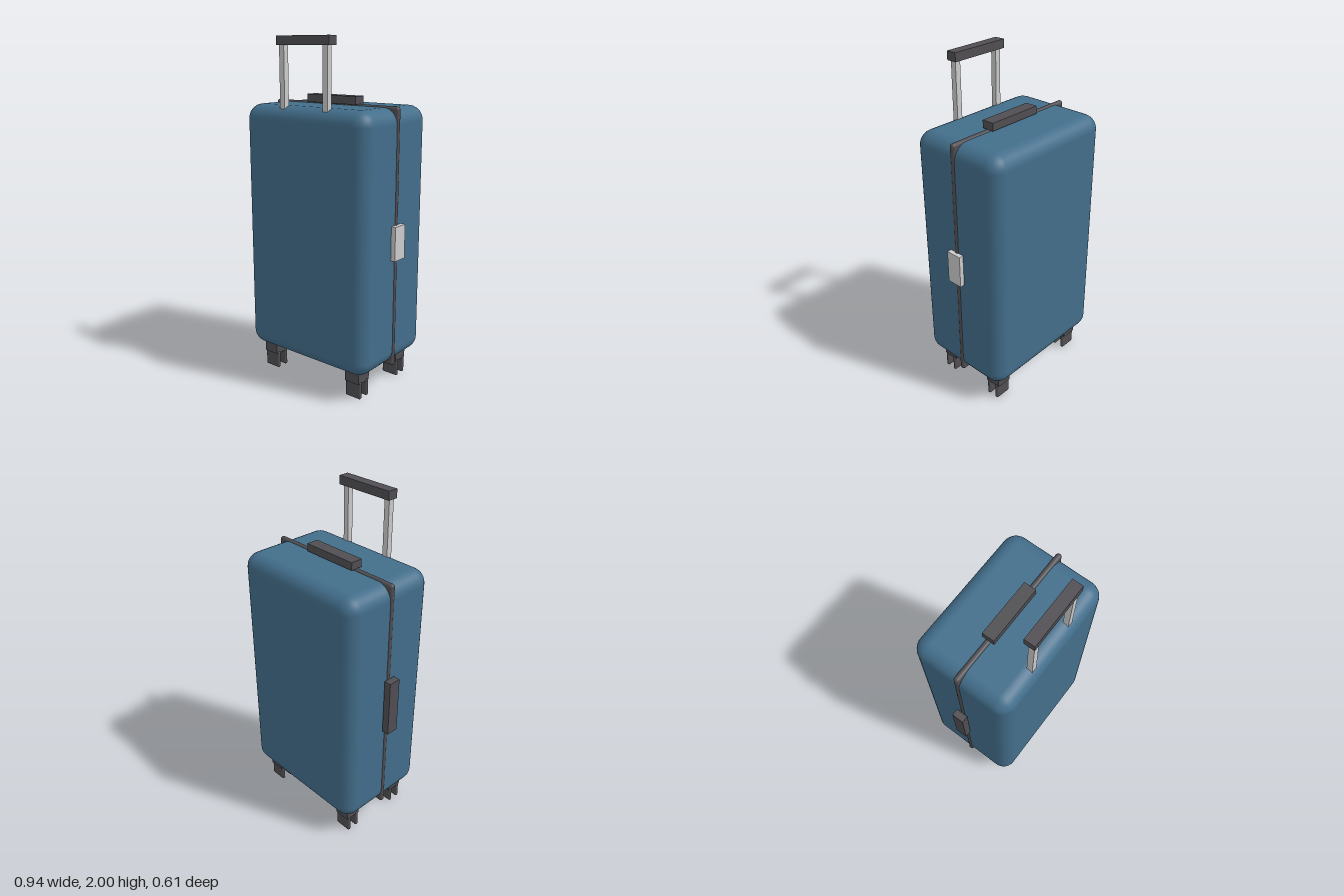
import * as THREE from 'three';
import { RoundedBoxGeometry } from 'three/addons/geometries/RoundedBoxGeometry.js';

const CX = 0.01; // the side handle and latch differ, so the shell sits slightly off centre

export function createModel() {
  const suitcase = new THREE.Group();
  suitcase.name = 'suitcase';

  const blue = new THREE.MeshStandardMaterial({ color: 0x436e8b });
  const dark = new THREE.MeshStandardMaterial({ color: 0x504e52 });
  const metal = new THREE.MeshStandardMaterial({ color: 0xcccccc });

  // Box given by its size and centre; a radius rounds its edges
  function box(name, material, size, centre, parent = suitcase, radius = 0, segments = 3) {
    const geometry = radius
      ? new RoundedBoxGeometry(...size, segments, radius)
      : new THREE.BoxGeometry(...size);
    const mesh = new THREE.Mesh(geometry, material);
    mesh.name = name;
    mesh.position.set(...centre);
    parent.add(mesh);
    return mesh;
  }

  // Shell and the seam band running around it
  box('shell', blue, [0.865, 1.468, 0.605], [CX, 0.893, 0], suitcase, 0.085, 4);
  box('seamBand', dark, [0.877, 1.485, 0.034], [CX, 0.893, 0], suitcase, 0.017, 4);

  // Carry handles on top and on one side, latch on the other
  box('topHandle', dark, [0.347, 0.045, 0.073], [CX, 1.656, 0]);
  box('sideHandle', dark, [0.042, 0.345, 0.073], [-0.45, 0.894, 0]);
  box('latch', metal, [0.045, 0.195, 0.095], [0.447, 0.893, 0]);

  // Telescopic handle
  const pullHandle = new THREE.Group();
  pullHandle.name = 'pullHandle';
  suitcase.add(pullHandle);
  box('pullGrip', dark, [0.368, 0.05, 0.062], [CX, 1.975, 0.247], pullHandle);
  for (const side of [-1, 1]) {
    box('pullRod', metal, [0.034, 0.41, 0.034], [CX - 0.002 + side * 0.152, 1.755, 0.252], pullHandle);
  }

  // Four twin-wheel casters
  for (const sx of [-1, 1]) {
    for (const sz of [-1, 1]) {
      const caster = new THREE.Group();
      caster.name = 'caster';
      caster.position.set(CX - 0.003 + sx * 0.314, 0, sz * 0.185);
      suitcase.add(caster);
      box('casterBracket', dark, [0.095, 0.075, 0.097], [0, 0.133, 0], caster);
      for (const dz of [-0.031, 0.031]) {
        box('wheel', dark, [0.104, 0.104, 0.021], [0, 0.053, dz], caster, 0.009, 3);
      }
    }
  }

  return suitcase;
}
